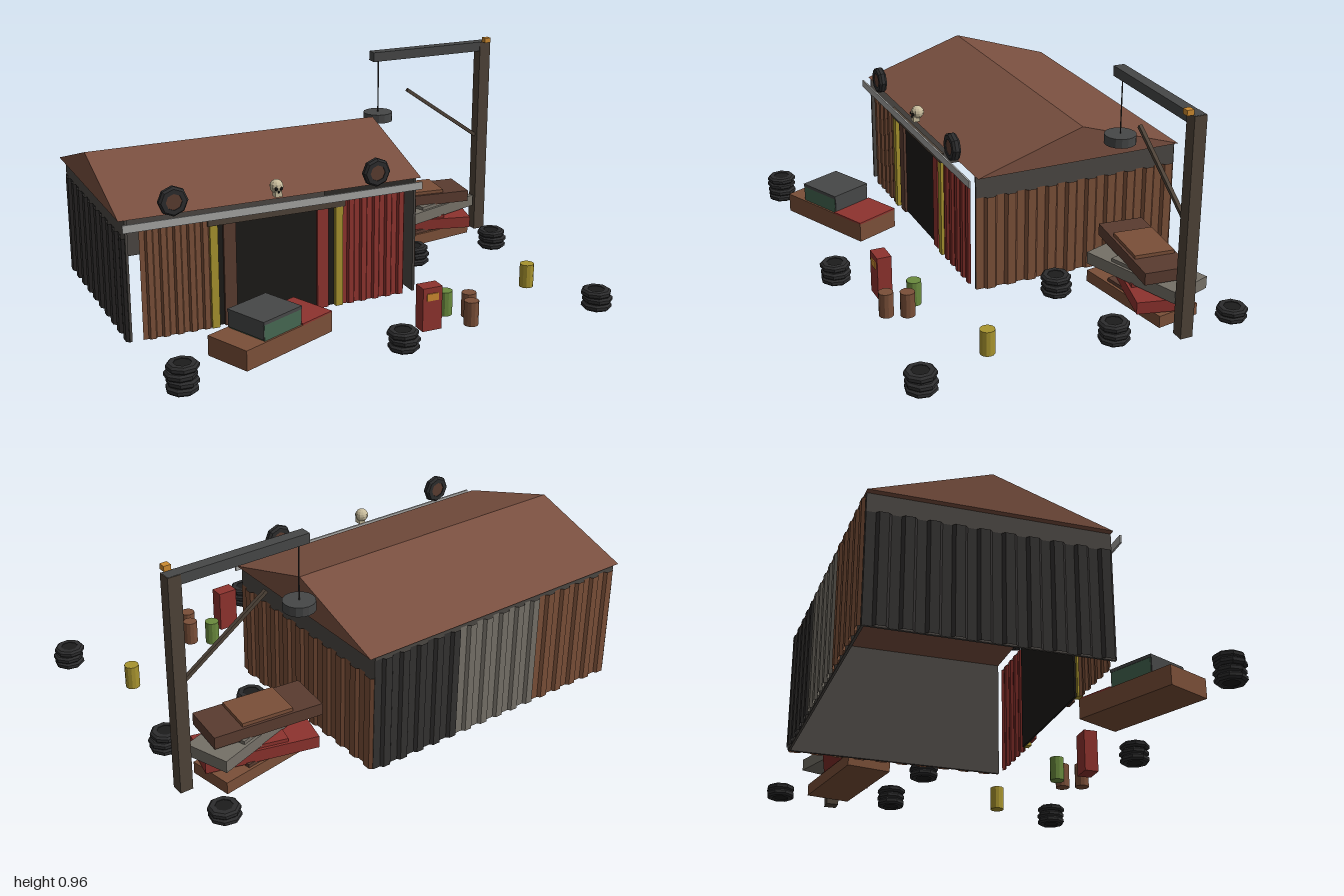
import * as THREE from 'three';

const C = {
  roof: 0x7a5040, brown: 0x7a4f38, darkBrown: 0x5a3c30, timber: 0x4e4338, red: 0x8e332e,
  grey: 0x4b4743, steel: 0x464747, dark: 0x333130, pale: 0x757067, gutter: 0xa5a5a3,
  yellow: 0xa8942f, black: 0x1c1a18, rubber: 0x2c2c2d, hub: 0x1c1c1c, green: 0x446650,
  drumGreen: 0x6a8a3e, orange: 0xcc8a30, bone: 0xc8bc9c,
};
const mats = {};
const mat = (color) => (mats[color] ??= new THREE.MeshStandardMaterial({
  color, flatShading: true, side: THREE.DoubleSide,
}));

function add(parent, name, geo, color, x = 0, y = 0, z = 0) {
  const m = new THREE.Mesh(geo, mat(color));
  m.name = name;
  m.position.set(x, y, z);
  parent.add(m);
  return m;
}
function group(parent, name, x = 0, y = 0, z = 0, ry = 0) {
  const g = new THREE.Group();
  g.name = name;
  g.position.set(x, y, z);
  g.rotation.y = ry;
  parent.add(g);
  return g;
}
// Box given by its min and max corners
const span = (p, name, color, [x0, y0, z0], [x1, y1, z1]) =>
  add(p, name, new THREE.BoxGeometry(x1 - x0, y1 - y0, z1 - z0), color,
    (x0 + x1) / 2, (y0 + y1) / 2, (z0 + z1) / 2);

// Upright corrugated sheet with trapezoid ribs rising along +z
function sheet(width, height, period, depth) {
  const ribs = Math.max(1, Math.round(width / period));
  const geo = new THREE.PlaneGeometry(width, height, ribs * 4, 1);
  const pos = geo.attributes.position;
  const stops = [0, 0.38, 0.5, 0.88];
  for (let i = 0; i < pos.count; i++) {
    const k = i % (ribs * 4 + 1);
    const t = (Math.floor(k / 4) + stops[k % 4]) / ribs;
    pos.setXYZ(i, (t - 0.5) * width, pos.getY(i) + height / 2, k % 4 >= 2 ? depth : 0);
  }
  return geo;
}

function buildShed(root) {
  const shed = group(root, 'shed');
  // Plain inner walls
  span(shed, 'leftInnerWall', C.grey, [0.295, 0, -0.745], [0.305, 0.515, 0.185]);
  span(shed, 'rightInnerWall', C.grey, [-0.975, 0, -0.745], [-0.965, 0.515, 0.185]);
  span(shed, 'backInnerWall', C.grey, [-0.97, 0, -0.745], [0.3, 0.515, -0.735]);

  // Corrugated cladding
  const left = add(shed, 'leftCladding', sheet(0.93, 0.42, 0.093, 0.012), C.brown, 0.307, 0, -0.28);
  left.rotation.y = Math.PI / 2;
  const right = add(shed, 'rightCladding', sheet(0.93, 0.44, 0.093, 0.012), C.dark, -0.977, 0, -0.28);
  right.rotation.y = -Math.PI / 2;
  [C.brown, C.pale, C.dark].forEach((color, i) => {
    const back = add(shed, 'backCladding', sheet(0.425, 0.5, 0.085, 0.012), color,
      -0.97 + 0.425 * (i + 0.5), 0, -0.747);
    back.rotation.y = Math.PI;
  });
  add(shed, 'frontCladding', sheet(0.29, 0.475, 0.058, 0.01), C.brown, -0.775, 0, 0.185);
  add(shed, 'frontCladding', sheet(0.293, 0.475, 0.058, 0.01), C.red, 0.104, 0, 0.185);

  // Doorway: dark opening, striped posts, door edges and lintel
  span(shed, 'doorOpening', C.black, [-0.62, 0, 0.168], [-0.05, 0.455, 0.176]);
  span(shed, 'doorPost', C.yellow, [-0.63, 0, 0.178], [-0.597, 0.455, 0.198]);
  span(shed, 'doorPost', C.yellow, [-0.076, 0, 0.178], [-0.043, 0.455, 0.198]);
  span(shed, 'doorEdge', C.darkBrown, [-0.57, 0, 0.178], [-0.517, 0.45, 0.19]);
  span(shed, 'doorEdge', C.red, [-0.157, 0, 0.178], [-0.107, 0.45, 0.19]);
  span(shed, 'lintel', C.timber, [-0.64, 0.445, 0.185], [-0.035, 0.488, 0.203]);

  // Gabled roof
  const gable = new THREE.Shape([
    new THREE.Vector2(-0.185, 0.515), new THREE.Vector2(0.75, 0.515), new THREE.Vector2(0.285, 0.667),
  ]);
  const roof = add(shed, 'roof', new THREE.ExtrudeGeometry(gable, { depth: 1.33, bevelEnabled: false }),
    C.roof, -1, 0, 0);
  roof.rotation.y = Math.PI / 2;
  span(shed, 'gutter', C.gutter, [-0.993, 0.475, 0.213], [0.317, 0.508, 0.22]);

  // Tyres hung at the eaves
  for (const x of [-0.782, 0.105]) {
    const wheel = group(shed, 'wallTyre', x, 0.575, 0.204);
    wheel.rotation.x = Math.PI / 2;
    tyre(wheel, 0, 0.062, 0.036, C.darkBrown);
  }

  // Skull ornament
  const skull = group(shed, 'skull', -0.337, 0.565, 0.187);
  add(skull, 'cranium', new THREE.SphereGeometry(0.029, 10, 8), C.bone, 0, 0.005, 0);
  add(skull, 'jaw', new THREE.BoxGeometry(0.03, 0.024, 0.03), C.bone, 0, -0.024, 0.009);
  for (const s of [-1, 1])
    add(skull, 'eyeSocket', new THREE.SphereGeometry(0.008, 6, 5), C.black, s * 0.011, 0, 0.024);
  add(skull, 'noseHole', new THREE.BoxGeometry(0.006, 0.008, 0.006), C.black, 0, -0.014, 0.024);
}

// Eight-sided tyre lying flat, bulging at mid height, with a sunken hub
function tyre(parent, y, r, h, hubColor = C.hub) {
  const pts = [[0.55, -0.5], [0.86, -0.5], [1, -0.22], [1, 0.22], [0.86, 0.5], [0.55, 0.5], [0.55, -0.5]]
    .map(([a, b]) => new THREE.Vector2(a * r, b * h));
  const t = add(parent, 'tyre', new THREE.LatheGeometry(pts, 8), C.rubber, 0, y, 0);
  add(t, 'hub', new THREE.CylinderGeometry(r * 0.56, r * 0.56, h * 0.8, 8), hubColor);
  return t;
}

function buildTyreStacks(root) {
  const stacks = [[-0.92, 0.67, 4], [-0.012, 0.695, 3], [0.92, 0.672, 3],
    [0.465, -0.108, 3], [0.897, -0.143, 3], [0.935, -0.658, 2]];
  for (const [x, z, n] of stacks) {
    const stack = group(root, 'tyreStack', x, 0, z);
    for (let i = 0; i < n; i++) {
      const t = tyre(stack, 0.0145 + i * 0.029, 0.064, 0.029);
      t.position.x = Math.sin(i * 2.4) * 0.005;
      t.rotation.y = 0.2 + i * 0.12;
    }
  }
}

function buildCrane(root) {
  const crane = group(root, 'crane', 0, 0, -0.411);
  span(crane, 'post', C.timber, [0.943, 0, -0.027], [0.998, 0.935, 0.027]);
  span(crane, 'boom', C.steel, [0.385, 0.893, -0.024], [0.995, 0.936, 0.024]);
  const brace = add(crane, 'brace', new THREE.BoxGeometry(0.455, 0.016, 0.016), C.timber, 0.757, 0.608, 0);
  brace.rotation.z = -0.612;
  add(crane, 'cable', new THREE.CylinderGeometry(0.003, 0.003, 0.25, 6), C.dark, 0.42, 0.77, 0);
  add(crane, 'magnet', new THREE.CylinderGeometry(0.067, 0.067, 0.04, 16), C.steel, 0.42, 0.63, 0);
  add(crane, 'warningLamp', new THREE.BoxGeometry(0.03, 0.022, 0.03), C.orange, 0.969, 0.947, 0.037);
}

function buildCrushedCars(root) {
  // Flattened cars: x, z, base height, turn, body colour, cabin colour
  const pile = group(root, 'crushedCarPile');
  const layers = [[0.64, -0.41, 0, 0.17, C.brown, C.darkBrown], [0.645, -0.42, 0.061, -0.24, C.red, C.red],
    [0.68, -0.405, 0.123, 0.33, C.pale, C.pale], [0.628, -0.42, 0.185, -0.1, C.darkBrown, C.brown]];
  for (const [x, z, y, turn, body, cabin] of layers) {
    const car = group(pile, 'crushedCar', x, y, z, turn);
    span(car, 'body', body, [-0.235, 0, -0.098], [0.235, 0.052, 0.098]);
    span(car, 'cabin', cabin, [-0.11, 0.05, -0.086], [0.11, 0.067, 0.086]);
  }
}

function buildWreck(root) {
  const car = group(root, 'wreckedCar', -0.498, 0, 0.507, 0.417);
  span(car, 'body', C.brown, [-0.24, 0.04, -0.105], [0.24, 0.124, 0.105]);
  span(car, 'bonnet', C.red, [0.07, 0.122, -0.105], [0.24, 0.13, 0.105]);
  span(car, 'cabin', C.green, [-0.135, 0.124, -0.097], [0.067, 0.192, 0.097]);
  span(car, 'cabinRoof', C.steel, [-0.14, 0.19, -0.098], [0.072, 0.204, 0.098]);
  span(car, 'rearWindow', C.steel, [-0.14, 0.13, -0.095], [-0.134, 0.192, 0.095]);
  span(car, 'windscreen', C.steel, [0.066, 0.13, -0.095], [0.072, 0.192, 0.095]);
}

function buildYardClutter(root) {
  const drums = [[0.304, 0.462, C.drumGreen], [0.384, 0.52, C.brown],
    [0.35, 0.6, C.brown], [0.78, 0.345, C.yellow]];
  for (const [x, z, color] of drums) {
    add(root, 'drum', new THREE.CylinderGeometry(0.031, 0.031, 0.106, 12), color, x, 0.053, z);
  }
  const pump = group(root, 'fuelPump', 0.175, 0, 0.556);
  span(pump, 'cabinet', C.red, [-0.044, 0, -0.031], [0.044, 0.188, 0.031]);
  span(pump, 'dial', C.orange, [-0.026, 0.132, 0.03], [0.026, 0.163, 0.035]);
}

export function createModel() {
  const root = new THREE.Group();
  root.name = 'scrapyard';
  buildShed(root);
  buildTyreStacks(root);
  buildCrane(root);
  buildCrushedCars(root);
  buildWreck(root);
  buildYardClutter(root);
  return root;
}
